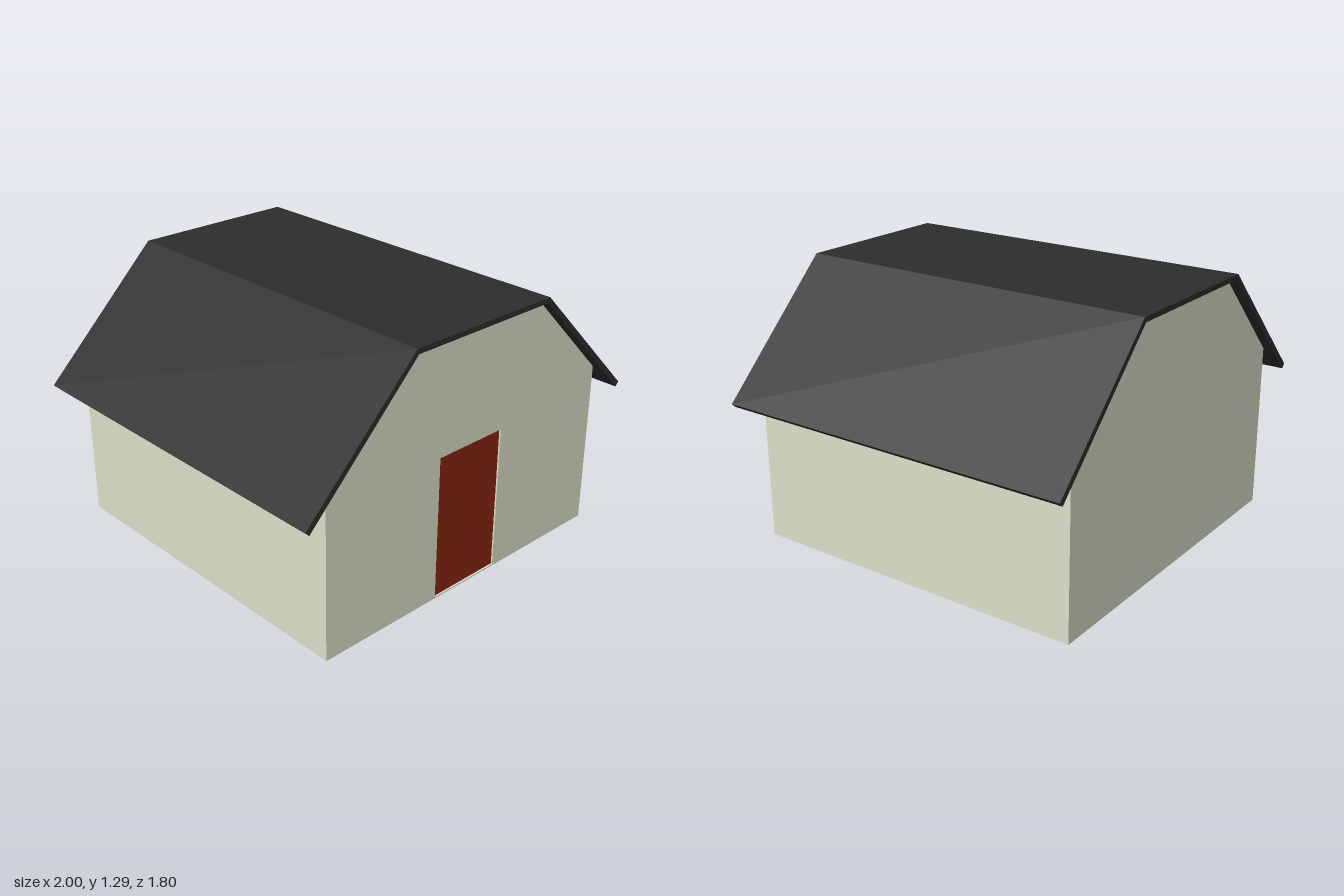
import * as THREE from 'three';

const mat = (color) => new THREE.MeshStandardMaterial({ color, flatShading: true });

// Extrudes a shape along z, from z to z + depth
function slab(name, shape, z, depth, material) {
  const geometry = new THREE.ExtrudeGeometry(shape, { depth, bevelEnabled: false });
  geometry.translate(0, 0, z);
  const mesh = new THREE.Mesh(geometry, material);
  mesh.name = name;
  return mesh;
}

function box(name, size, position, material) {
  const mesh = new THREE.Mesh(new THREE.BoxGeometry(...size), material);
  mesh.position.set(...position);
  mesh.name = name;
  return mesh;
}

// Closes a right-hand outline with its mirror image
function mirrored(points) {
  const left = points.map(([x, y]) => [-x, y]).reverse();
  return new THREE.Shape([...points, ...left].map(([x, y]) => new THREE.Vector2(x, y)));
}

export function createModel() {
  const group = new THREE.Group();
  group.name = 'barn';

  const wallMat = mat(0xdbdfc8);
  const roofMat = mat(0x2d2d2d);
  const doorMat = mat(0x88260f);
  const floorMat = mat(0x3f200c);

  const half = 0.85, thick = 0.02, eave = 0.815;
  const doorHalf = 0.195, doorBottom = 0.007, doorTop = 0.71;

  // Gable walls, the front one with a door opening
  const gable = () => mirrored([[half, 0], [half, eave], [0.4, 1.265]]);
  const front = gable();
  front.holes.push(new THREE.Path([
    [-doorHalf, doorBottom], [-doorHalf, doorTop], [doorHalf, doorTop], [doorHalf, doorBottom],
  ].map(([x, y]) => new THREE.Vector2(x, y))));
  group.add(slab('frontWall', front, half - thick, thick, wallMat));
  group.add(slab('backWall', gable(), -half, thick, wallMat));

  // Side walls between the gables
  for (const [name, s] of [['leftWall', 1], ['rightWall', -1]]) {
    group.add(box(name, [thick, eave, 2 * (half - thick)],
      [s * (half - thick / 2), eave / 2, 0], wallMat));
  }

  // Door set slightly back in its opening
  group.add(box('door', [2 * doorHalf, doorTop - doorBottom, 0.01],
    [0, (doorTop + doorBottom) / 2, half - 0.013], doorMat));

  // Floor, just above the foot of the walls
  group.add(box('floor', [2 * (half - thick), 0.015, 2 * (half - thick)],
    [0, 0.0125, 0], floorMat));

  // Three-panel roof with overhanging eaves
  const roof = mirrored([[0.4, 1.265], [0.98, 0.685], [1, 0.705], [0.41, 1.29]]);
  group.add(slab('roof', roof, -0.9, 1.8, roofMat));

  return group;
}
